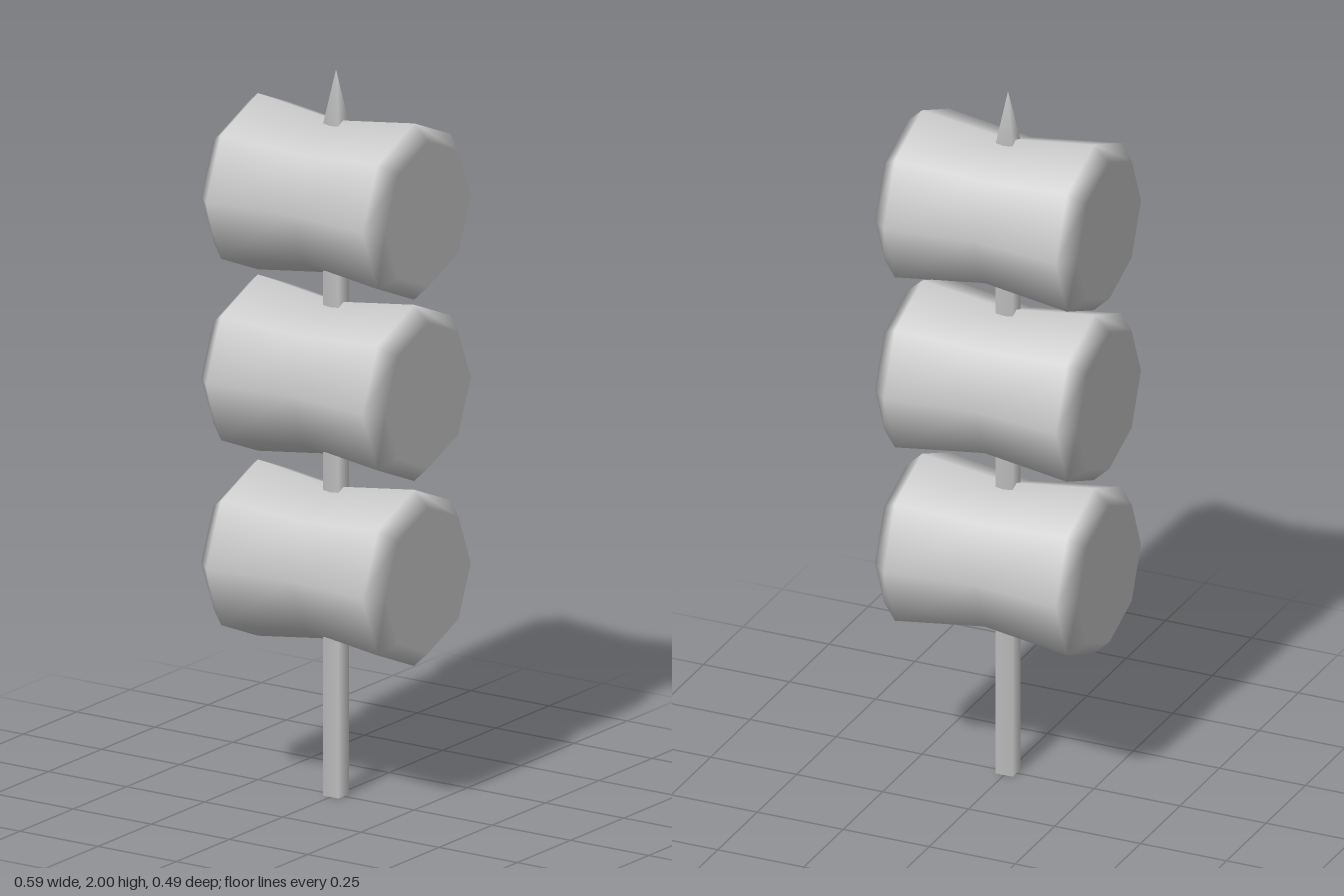
import * as THREE from 'three';

const material = new THREE.MeshStandardMaterial({ color: 0xcccccc });
const lathe = (profile, sides, start) =>
  new THREE.LatheGeometry(profile.map(([r, y]) => new THREE.Vector2(r, y)), sides, start);

// Octagonal waisted barrel lying along x, with bevels that blend into flat ends
function barrelGeometry() {
  const half = [[0, 0.295], [0.2, 0.295], [0.243, 0.25]];
  const profile = [
    ...half.map(([r, y]) => [r, -y]),
    [0.21, 0],
    ...half.slice().reverse(),
  ];
  const geometry = lathe(profile, 8, 0);
  const { position, normal } = geometry.attributes;
  for (let i = 0; i < position.count; i++) {
    const y = position.getY(i);
    if (Math.abs(y) > 0.29) normal.setXYZ(i, 0, Math.sign(y), 0);
  }
  return geometry.rotateZ(Math.PI / 2);
}

export function createModel() {
  const group = new THREE.Group();

  // Square stick with a pointed tip
  const r = 0.025 * Math.SQRT2;
  const stick = new THREE.Mesh(
    lathe([[0, 0], [r, 0], [r, 1.85], [0, 2]], 4, Math.PI / 4), material);
  stick.name = 'stick';
  group.add(stick);

  // Three pieces threaded on the stick
  const geometry = barrelGeometry();
  [0.64, 1.15, 1.65].forEach((y, i) => {
    const piece = new THREE.Mesh(geometry, material);
    piece.name = ['lowerPiece', 'middlePiece', 'upperPiece'][i];
    piece.position.y = y;
    group.add(piece);
  });

  return group;
}
